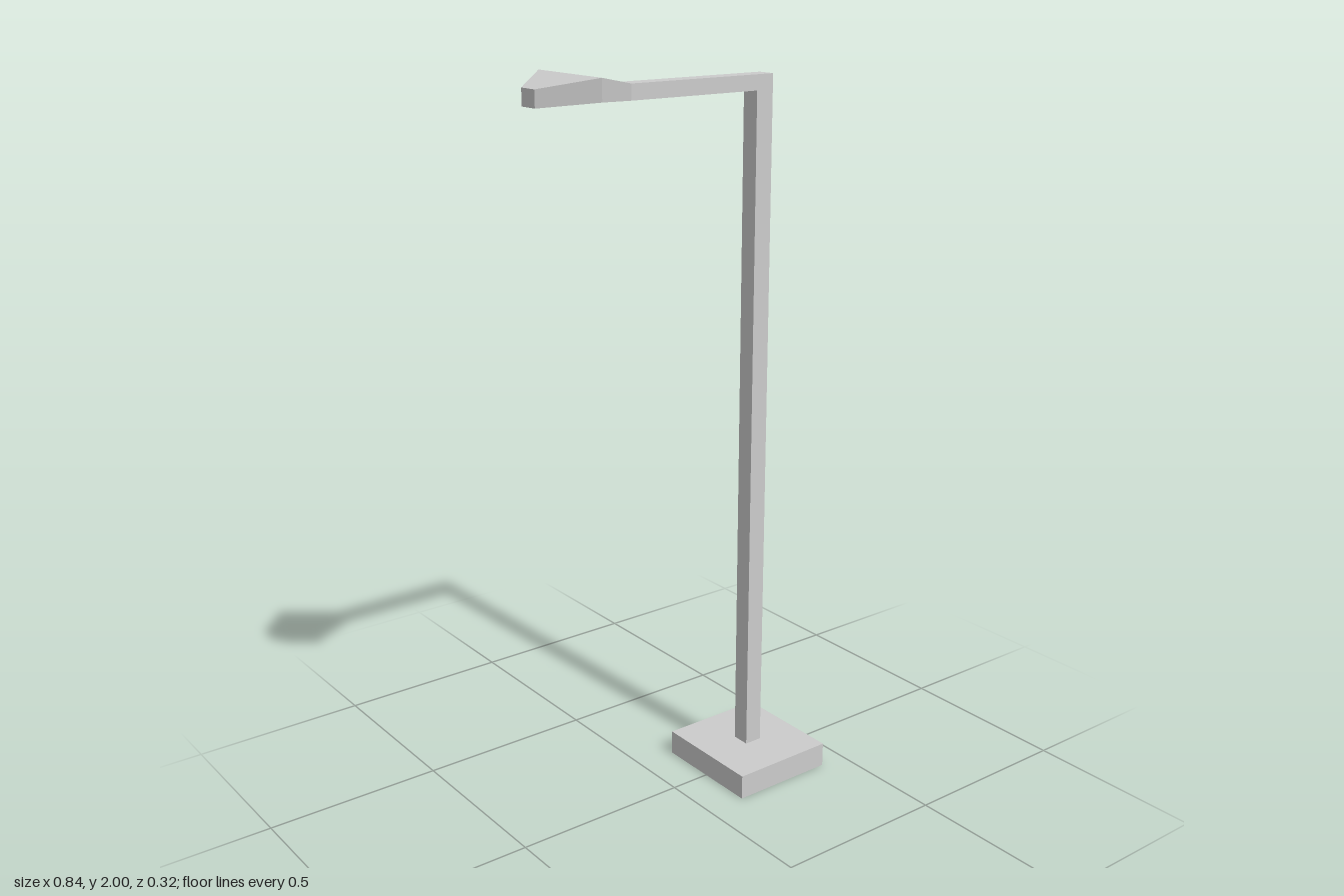
import * as THREE from 'three';

const material = new THREE.MeshStandardMaterial({ color: 0xcccccc, flatShading: true });

function box(name, x0, x1, y0, y1, halfDepth) {
  const mesh = new THREE.Mesh(new THREE.BoxGeometry(x1 - x0, y1 - y0, halfDepth * 2), material);
  mesh.position.set((x0 + x1) / 2, (y0 + y1) / 2, 0);
  mesh.name = name;
  return mesh;
}

// Closed loft through rectangular sections [x, bottom, top, halfDepth], listed from +x to -x
function loft(name, sections) {
  const positions = [];
  const index = [];
  for (const [x, y0, y1, d] of sections) {
    positions.push(x, y0, d, x, y1, d, x, y1, -d, x, y0, -d);
  }
  const quad = (a, b, c, d) => index.push(a, b, c, a, c, d);
  for (let s = 0; s < sections.length - 1; s++) {
    for (let k = 0; k < 4; k++) {
      const a = s * 4 + k;
      const b = s * 4 + (k + 1) % 4;
      quad(a, b, b + 4, a + 4);
    }
  }
  const e = (sections.length - 1) * 4;
  quad(3, 2, 1, 0);
  quad(e, e + 1, e + 2, e + 3);
  const indexed = new THREE.BufferGeometry();
  indexed.setAttribute('position', new THREE.Float32BufferAttribute(positions, 3));
  indexed.setIndex(index);
  const geometry = indexed.toNonIndexed();
  geometry.computeVertexNormals();
  const mesh = new THREE.Mesh(geometry, material);
  mesh.name = name;
  return mesh;
}

export function createModel() {
  const group = new THREE.Group();
  group.name = 'streetLamp';

  // Square foot and upright
  group.add(box('base', 0.115, 0.42, 0, 0.07, 0.162));
  group.add(box('pole', 0.243, 0.295, 0.07, 1.93, 0.026));

  // Horizontal arm
  group.add(box('arm', -0.148, 0.295, 1.93, 1.97, 0.026));

  // Kite-shaped lamp head, widest and highest at its middle
  group.add(loft('lampHead', [
    [-0.148, 1.93, 1.97, 0.026],
    [-0.307, 1.945, 2.0, 0.132],
    [-0.422, 1.93, 1.973, 0.028],
  ]));

  return group;
}
